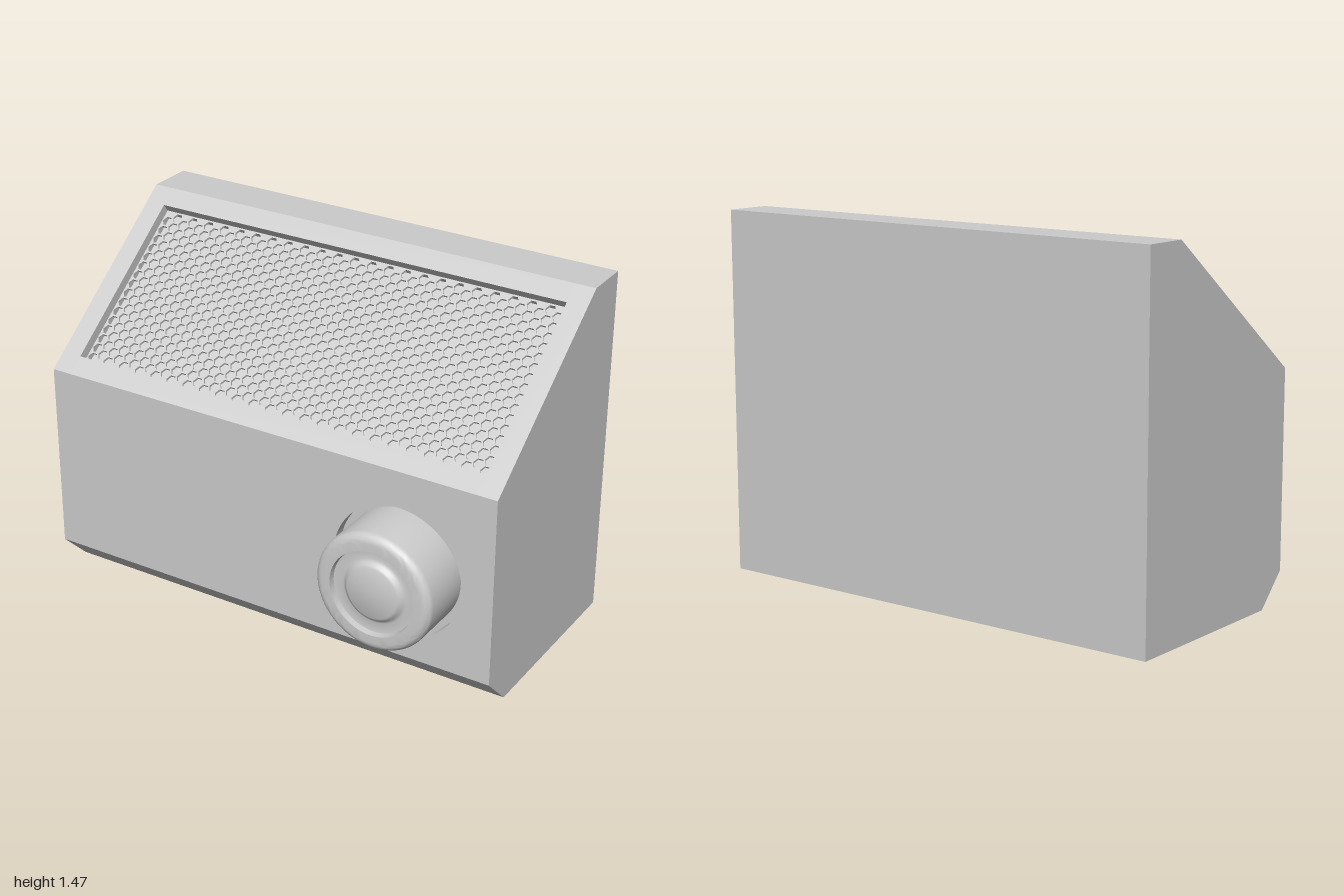
import * as THREE from 'three';
import { toCreasedNormals } from 'three/addons/utils/BufferGeometryUtils.js';

const FRONT = 0.365, BACK = -0.555, TOP = 1.47, SLOPE_Y = 0.92, SLOPE_Z = -0.365;
const FRAME = 0.085, INNER = 1 - FRAME;      // border around the grille
const RECESS = 0.075, MESH_DEPTH = 0.04;     // grille pocket
const KNOB = { x: 0.595, y: 0.495, r: 0.245, hole: 0.275, sink: 0.05 };

const dz = SLOPE_Z - FRONT, dy = TOP - SLOPE_Y;
const slopeLength = Math.hypot(dz, dy);
const uz = dz / slopeLength, uy = dy / slopeLength;

// [z, y] at distance s up the sloped face and depth d beneath it
const onSlope = (s, d) => [FRONT + uz * s - uy * d, SLOPE_Y + uy * s + uz * d];

const material = new THREE.MeshStandardMaterial({ color: 0xcccccc });

function addMesh(parent, name, geometry) {
  const mesh = new THREE.Mesh(geometry, material);
  mesh.name = name;
  parent.add(mesh);
  return mesh;
}

// Extrudes a [z, y] side profile between two x positions
function extrudeSide(points, x0, x1) {
  const shape = new THREE.Shape(points.map(([z, y]) => new THREE.Vector2(z, y)));
  return new THREE.ExtrudeGeometry(shape, { depth: x1 - x0, bevelEnabled: false })
    .rotateY(-Math.PI / 2).translate(x1, 0, 0);
}

// Plate filled with a staggered grid of hexagonal holes
function honeycomb(width, height, columns, strut, depth) {
  const w = width / 2, h = height / 2;
  const shape = new THREE.Shape([[-w, -h], [w, -h], [w, h], [-w, h]].map(p => new THREE.Vector2(...p)));
  const stepX = width / (columns + 1 / 3);
  const cell = stepX / 1.5;
  const stepY = cell * Math.sqrt(3);
  const rows = Math.floor(height / stepY - 0.5);
  const r = cell - strut / Math.sqrt(3);
  for (let c = 0; c < columns; c++) {
    for (let k = 0; k < rows; k++) {
      const cx = (c - (columns - 1) / 2) * stepX;
      const cy = (k - (rows - 1) / 2 + (c % 2 ? 0.25 : -0.25)) * stepY;
      const hex = [];
      for (let i = 0; i < 6; i++) {
        const a = -i * Math.PI / 3;
        hex.push(new THREE.Vector2(cx + r * Math.cos(a), cy + r * Math.sin(a)));
      }
      shape.holes.push(new THREE.Path(hex));
    }
  }
  return new THREE.ExtrudeGeometry(shape, { depth, bevelEnabled: false });
}

export function createModel() {
  const model = new THREE.Group();
  model.name = 'speakerBox';

  // Solid ends carry the full side profile
  const lower = [[BACK, 0], [0.235, 0], [FRONT, 0.13]];
  const upper = [[SLOPE_Z, TOP], [BACK, TOP]];
  const endProfile = [...lower, [FRONT, SLOPE_Y], ...upper];
  addMesh(model, 'leftEnd', extrudeSide(endProfile, INNER, 1));
  addMesh(model, 'rightEnd', extrudeSide(endProfile, -1, -INNER));

  // Middle body, notched for the grille pocket and the front panel
  const panelLow = 0.2, panelHigh = 0.8, sunk = FRONT - KNOB.sink;
  const bodyProfile = [
    ...lower,
    [FRONT, panelLow], [sunk, panelLow], [sunk, panelHigh], [FRONT, panelHigh],
    [FRONT, SLOPE_Y],
    onSlope(FRAME, 0), onSlope(FRAME, RECESS),
    onSlope(slopeLength - FRAME, RECESS), onSlope(slopeLength - FRAME, 0),
    ...upper,
  ];
  addMesh(model, 'body', extrudeSide(bodyProfile, -INNER, INNER));

  // Front panel with the round knob well
  const panel = new THREE.Shape([
    [-INNER, panelLow], [INNER, panelLow], [INNER, panelHigh], [-INNER, panelHigh],
  ].map(p => new THREE.Vector2(...p)));
  panel.holes.push(new THREE.Path().absarc(KNOB.x, KNOB.y, KNOB.hole, 0, Math.PI * 2, true));
  const panelGeometry = new THREE.ExtrudeGeometry(panel, { depth: KNOB.sink, bevelEnabled: false, curveSegments: 64 });
  addMesh(model, 'frontPanel', toCreasedNormals(panelGeometry, 0.5)).position.z = sunk;

  // Honeycomb grille lying in the sloped pocket
  const meshThickness = 0.01;
  const grille = addMesh(model, 'grille',
    honeycomb(INNER * 2, slopeLength - FRAME * 2, 47, 0.007, meshThickness));
  const [gz, gy] = onSlope(slopeLength / 2, MESH_DEPTH + meshThickness);
  grille.position.set(0, gy, gz);
  grille.rotation.x = -Math.atan2(-dz, dy);

  // Turned knob with a rounded rim, dished face and raised centre
  const R = KNOB.r, H = 0.555 - sunk;
  const profile = [[R, 0], [R, H - 0.035]];
  for (let i = 1; i <= 6; i++) {
    const a = i / 6 * Math.PI / 2;
    profile.push([R - 0.035 + 0.035 * Math.cos(a), H - 0.035 + 0.035 * Math.sin(a)]);
  }
  profile.push([0.177, H], [0.174, H - 0.025], [0.135, H - 0.03],
    [0.122, H - 0.024], [0.115, H - 0.012], [0.105, H - 0.007], [0, H - 0.005]);
  const knob = new THREE.LatheGeometry(profile.map(p => new THREE.Vector2(...p)), 64).rotateX(Math.PI / 2);
  addMesh(model, 'knob', toCreasedNormals(knob, 0.7)).position.set(KNOB.x, KNOB.y, sunk);

  return model;
}
